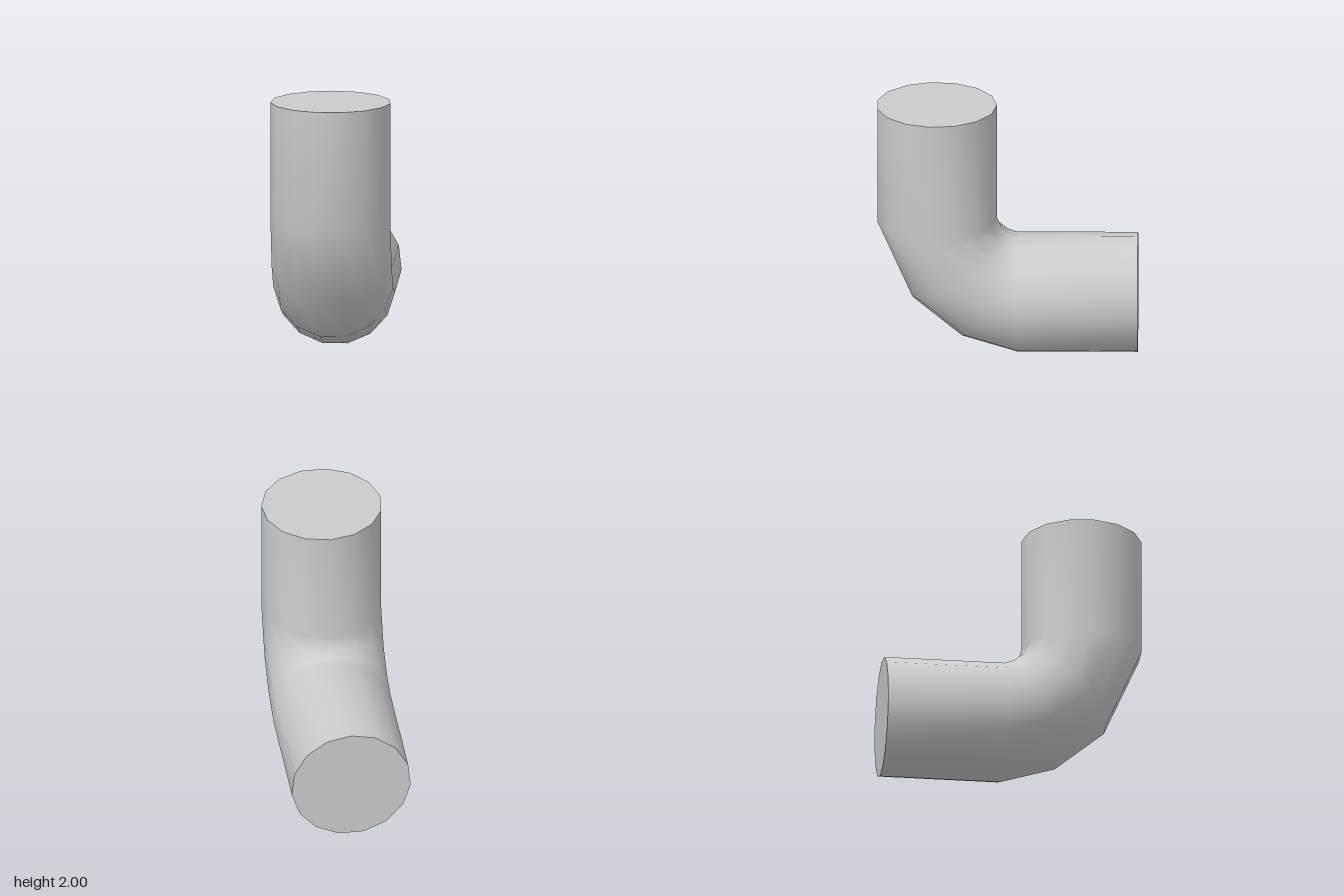
import * as THREE from 'three';

const SIDES = 15;
const R = 0.464;
const FLAT = R * Math.cos(Math.PI / SIDES); // centre to the flat on the outside of the bend
const CENTRE_Z = 1 - FLAT; // axis of the upright arm
const CENTRE_Y = FLAT; // axis of the level arm

// Each ring: inner [z, y] and outer [z, y] points in the plane of the bend
const RINGS = [
  [[CENTRE_Z - R, 2], [1, 2]],
  [[CENTRE_Z - R, 1.07], [1, 1.07]],
  [[0.045, 0.985], [0.73, 0.45]],
  [[-0.01, 0.94], [0.35, 0.13]],
  [[-0.07, CENTRE_Y + R], [-0.07, 0]],
  [[-1, CENTRE_Y + R], [-1, 0]],
];

// Skin through the rings, smooth all the way round
function tubeGeometry() {
  const positions = [];
  const index = [];
  RINGS.forEach(([inner, outer], i) => {
    for (let j = 0; j < SIDES; j++) {
      const a = (j / SIDES) * Math.PI * 2;
      const t = (R * Math.cos(a) + FLAT) / (R + FLAT);
      positions.push(
        R * Math.sin(a),
        THREE.MathUtils.lerp(outer[1], inner[1], t),
        THREE.MathUtils.lerp(outer[0], inner[0], t),
      );
      if (i === RINGS.length - 1) continue;
      const k = (j + 1) % SIDES;
      const p = i * SIDES + j, q = i * SIDES + k;
      index.push(p, q, p + SIDES, q, q + SIDES, p + SIDES);
    }
  });
  const geometry = new THREE.BufferGeometry();
  geometry.setAttribute('position', new THREE.Float32BufferAttribute(positions, 3));
  geometry.setIndex(index);
  geometry.computeVertexNormals();
  return geometry;
}

export function createModel() {
  const group = new THREE.Group();
  group.name = 'pipeElbow';
  const material = new THREE.MeshStandardMaterial({ color: 0xcccccc });
  const add = (name, geometry) => {
    const mesh = new THREE.Mesh(geometry, material);
    mesh.name = name;
    group.add(mesh);
    return mesh;
  };

  add('bentPipe', tubeGeometry());

  // Flat end caps, with a corner on the inner side of the bend
  const cap = () => new THREE.CircleGeometry(R, SIDES, Math.PI / 2);
  add('topCap', cap().rotateX(-Math.PI / 2)).position.set(0, 2, CENTRE_Z);
  add('backCap', cap().rotateY(Math.PI)).position.set(0, CENTRE_Y, -1);

  return group;
}
